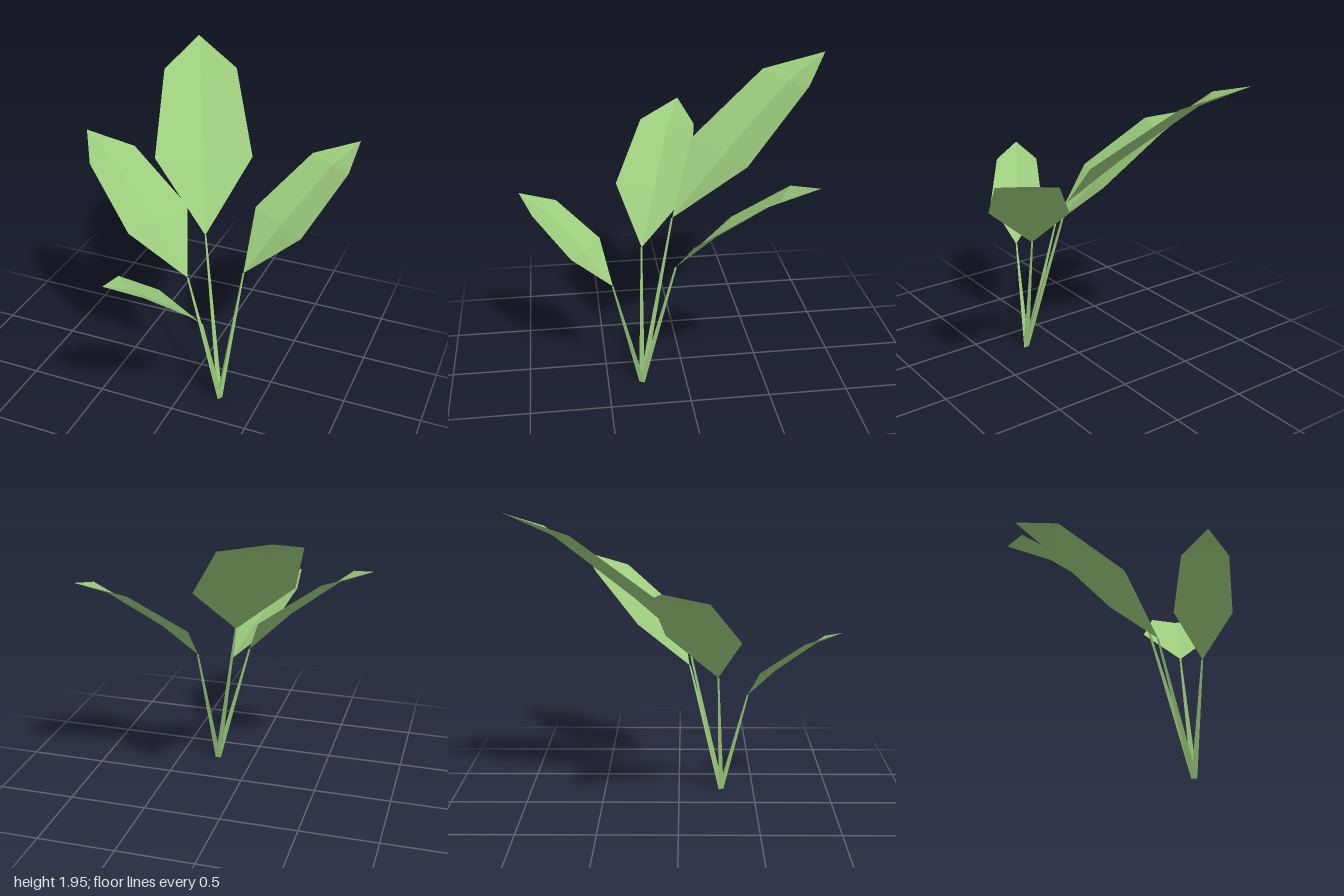
import * as THREE from 'three';

const V = (p) => new THREE.Vector3(...p);

// Each leaf: base, tip, and two right/left edge pairs
const LEAVES = [
  { name: 'backLeaf', base: [0.05, 1.06, 0.06], tip: [-0.44, 1.95, -1.0],
    right: [[0.19, 1.43, -0.38], [-0.09, 1.83, -0.81]],
    left: [[-0.37, 1.43, -0.12], [-0.52, 1.83, -0.61]] },
  { name: 'leftLeaf', base: [0.31, 0.85, 0.07], tip: [0.81, 1.53, -0.66],
    right: [[0.65, 1.14, 0.01], [0.82, 1.44, -0.36]],
    left: [[0.26, 1.14, -0.27], [0.53, 1.44, -0.56]] },
  { name: 'rightLeaf', base: [0.01, 0.85, 0.25], tip: [-0.83, 1.56, -0.09],
    right: [[-0.13, 1.16, -0.08], [-0.53, 1.47, -0.16]],
    left: [[-0.32, 1.16, 0.38], [-0.67, 1.47, 0.18]] },
  { name: 'frontLeaf', base: [0.19, 0.68, 0.45], tip: [-0.17, 1.19, 1.0],
    right: [[-0.06, 0.9, 0.51], [-0.19, 1.12, 0.77]],
    left: [[0.23, 0.9, 0.7], [0.04, 1.12, 0.92]] },
];
const ROOT = new THREE.Vector3(0.24, 0, 0.28);

// Blade folded along a sunken midrib
function bladeGeometry(leaf) {
  const base = V(leaf.base), tip = V(leaf.tip);
  const along = tip.clone().sub(base);
  const R = leaf.right.map(V), L = leaf.left.map(V);
  const M = R.map((r, i) => {
    const across = r.clone().sub(L[i]);
    const normal = across.clone().cross(along).normalize();
    return r.clone().add(L[i]).multiplyScalar(0.5).addScaledVector(normal, -0.073 * across.length());
  });
  const points = [
    base, R[0], M[0], base, M[0], L[0],
    M[0], R[0], R[1], M[0], R[1], M[1],
    L[0], M[0], M[1], L[0], M[1], L[1],
    M[1], R[1], tip, L[1], M[1], tip,
  ];
  const g = new THREE.BufferGeometry().setFromPoints(points);
  g.computeVertexNormals();
  return g;
}

// Thin three-sided stem, sheared so its foot stays level on the ground
function stemGeometry(top) {
  const h = top.y;
  const g = new THREE.CylinderGeometry(0.007, 0.022, h, 3).translate(0, h / 2, 0);
  const p = g.attributes.position;
  for (let i = 0; i < p.count; i++) {
    const t = p.getY(i) / h;
    p.setX(i, p.getX(i) + THREE.MathUtils.lerp(ROOT.x, top.x, t));
    p.setZ(i, p.getZ(i) + THREE.MathUtils.lerp(ROOT.z, top.z, t));
  }
  g.computeVertexNormals();
  return g;
}

export function createModel() {
  const green = new THREE.MeshStandardMaterial({
    name: 'leafGreen', color: 0x9ccb7c, flatShading: true, side: THREE.DoubleSide,
  });
  const plant = new THREE.Group();
  plant.name = 'plant';
  for (const leaf of LEAVES) {
    const group = new THREE.Group();
    group.name = leaf.name;
    const blade = new THREE.Mesh(bladeGeometry(leaf), green);
    blade.name = 'blade';
    const stem = new THREE.Mesh(stemGeometry(V(leaf.base)), green);
    stem.name = 'stem';
    group.add(blade, stem);
    plant.add(group);
  }
  return plant;
}
